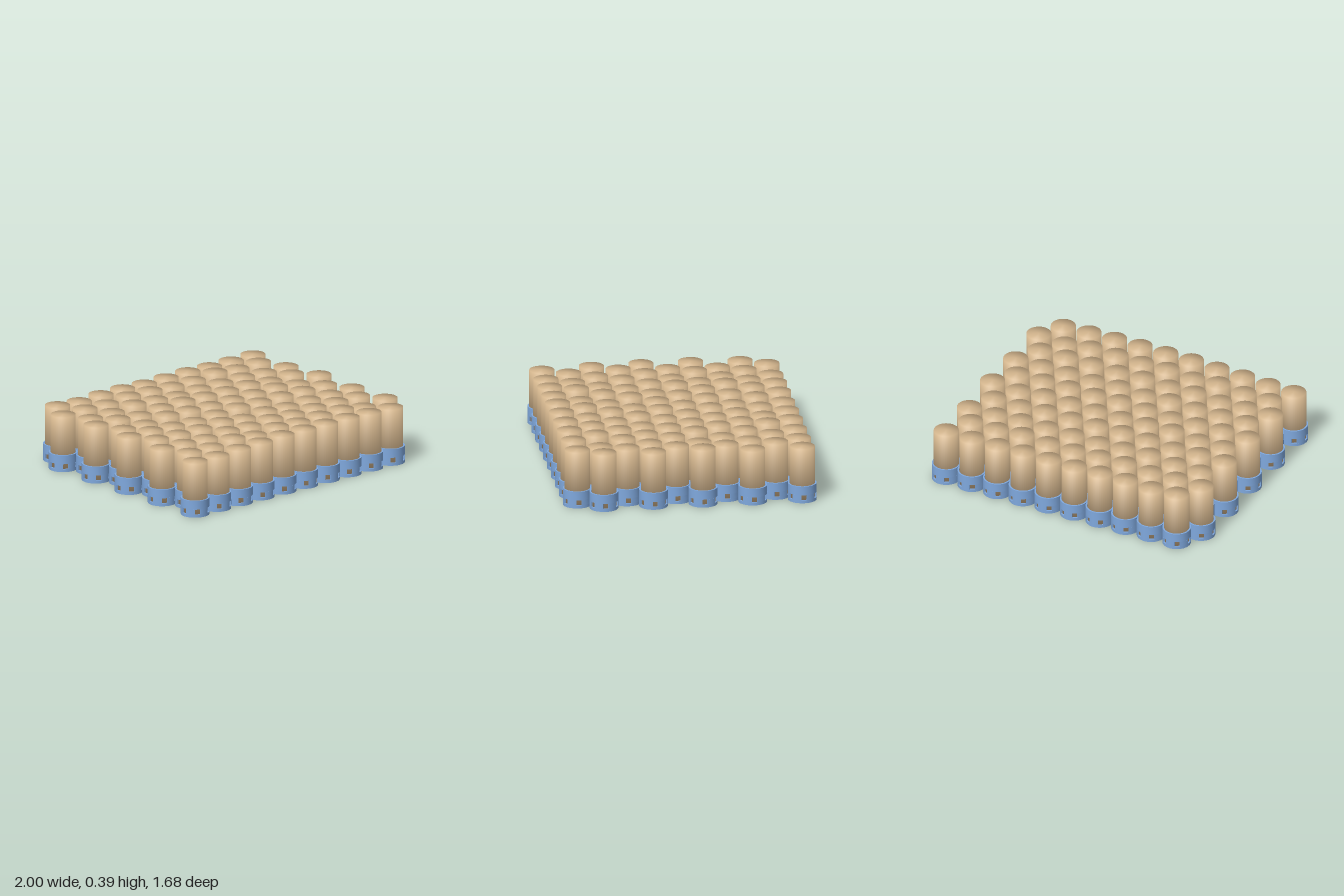
import * as THREE from 'three';
import { mergeGeometries, toCreasedNormals } from 'three/addons/utils/BufferGeometryUtils.js';

const PITCH = 2 / 10.5;            // spacing of the honeycomb grid
const ROWS = 10, COLS = 10;
const R_OUT = PITCH / 2, R_IN = 0.0845, R_LIP = 0.075;
const LIP_TOP = 0.015, SLOT_LOW = 0.02, SLOT_HIGH = 0.055, RING_TOP = 0.115;
const PIN_R = 0.083, PIN_BASE = 0.015, PIN_TOP = 0.39;

// Upright slab of a flat shape between two heights
function slab(shape, y0, y1, curveSegments) {
  const g = new THREE.ExtrudeGeometry(shape, { depth: y1 - y0, bevelEnabled: false, curveSegments });
  g.rotateX(-Math.PI / 2);
  g.translate(0, y0, 0);
  return g;
}

function annulus(inner) {
  const s = new THREE.Shape().absarc(0, 0, R_OUT, 0, Math.PI * 2, false);
  s.holes.push(new THREE.Path().absarc(0, 0, inner, 0, Math.PI * 2, true));
  return s;
}

// Holder ring: supporting lip, lower and upper bands, six posts leaving slots toward the neighbours
function holderGeometry() {
  const parts = [
    slab(annulus(R_LIP), 0, LIP_TOP, 16),
    slab(annulus(R_IN), LIP_TOP, SLOT_LOW, 16),
    slab(annulus(R_IN), SLOT_HIGH, RING_TOP, 16),
  ];
  const half = 0.19;
  for (let i = 0; i < 6; i++) {
    const a0 = i * Math.PI / 3 + half, a1 = (i + 1) * Math.PI / 3 - half;
    const s = new THREE.Shape();
    s.absarc(0, 0, R_OUT, a0, a1, false);
    s.absarc(0, 0, R_IN, a1, a0, true);
    s.closePath();
    parts.push(slab(s, SLOT_LOW, SLOT_HIGH, 2));
  }
  return toCreasedNormals(mergeGeometries(parts), 0.5);
}

// Solid pin with its base at y = 0, shaded smoothly over both rims
function pinGeometry() {
  const h = PIN_TOP - PIN_BASE;
  const g = new THREE.CylinderGeometry(PIN_R, PIN_R, h, 36);
  const p = g.attributes.position, n = new THREE.Vector3();
  for (let i = 0; i < p.count; i++) {
    n.set(p.getX(i) / PIN_R, Math.sign(p.getY(i)), p.getZ(i) / PIN_R).normalize();
    g.attributes.normal.setXYZ(i, n.x, n.y, n.z);
  }
  return g.translate(0, h / 2, 0);
}

export function createModel() {
  const model = new THREE.Group();
  model.name = 'pinArray';
  const blue = new THREE.MeshStandardMaterial({ color: 0x7fa8dd });
  blue.name = 'holderBlue';
  const tan = new THREE.MeshStandardMaterial({ color: 0xd2b48c });
  tan.name = 'pinTan';

  const holderGeo = holderGeometry(), pinGeo = pinGeometry();
  const frontHeights = [0.365, 0.365, 0.375, 0.38, 0.39, 0.39, 0.39, 0.39, 0.385, 0.38];

  // Small seeded generator for the uneven pin heights
  let seed = 7;
  const random = () => (seed = (seed * 16807) % 2147483647) / 2147483647;

  for (let r = 0; r < ROWS; r++) {
    const z = (r - (ROWS - 1) / 2) * PITCH * Math.sqrt(3) / 2;
    const shift = (r % 2 === 0 ? 1 : -1) * PITCH / 4;
    const rowTop = r === 0 ? 0.376 : PIN_TOP;      // the back row is lower
    for (let c = 0; c < COLS; c++) {
      const x = (c - (COLS - 1) / 2) * PITCH + shift;
      const cell = new THREE.Group();
      cell.name = 'cell';
      cell.position.set(x, 0, z);

      const holder = new THREE.Mesh(holderGeo, blue);
      holder.name = 'holderRing';

      const top = r === ROWS - 1 ? frontHeights[c] : rowTop - (rowTop - 0.363) * random();
      const pin = new THREE.Mesh(pinGeo, tan);
      pin.name = 'pin';
      pin.position.y = PIN_BASE;
      pin.scale.y = (top - PIN_BASE) / (PIN_TOP - PIN_BASE);

      cell.add(holder, pin);
      model.add(cell);
    }
  }
  return model;
}
